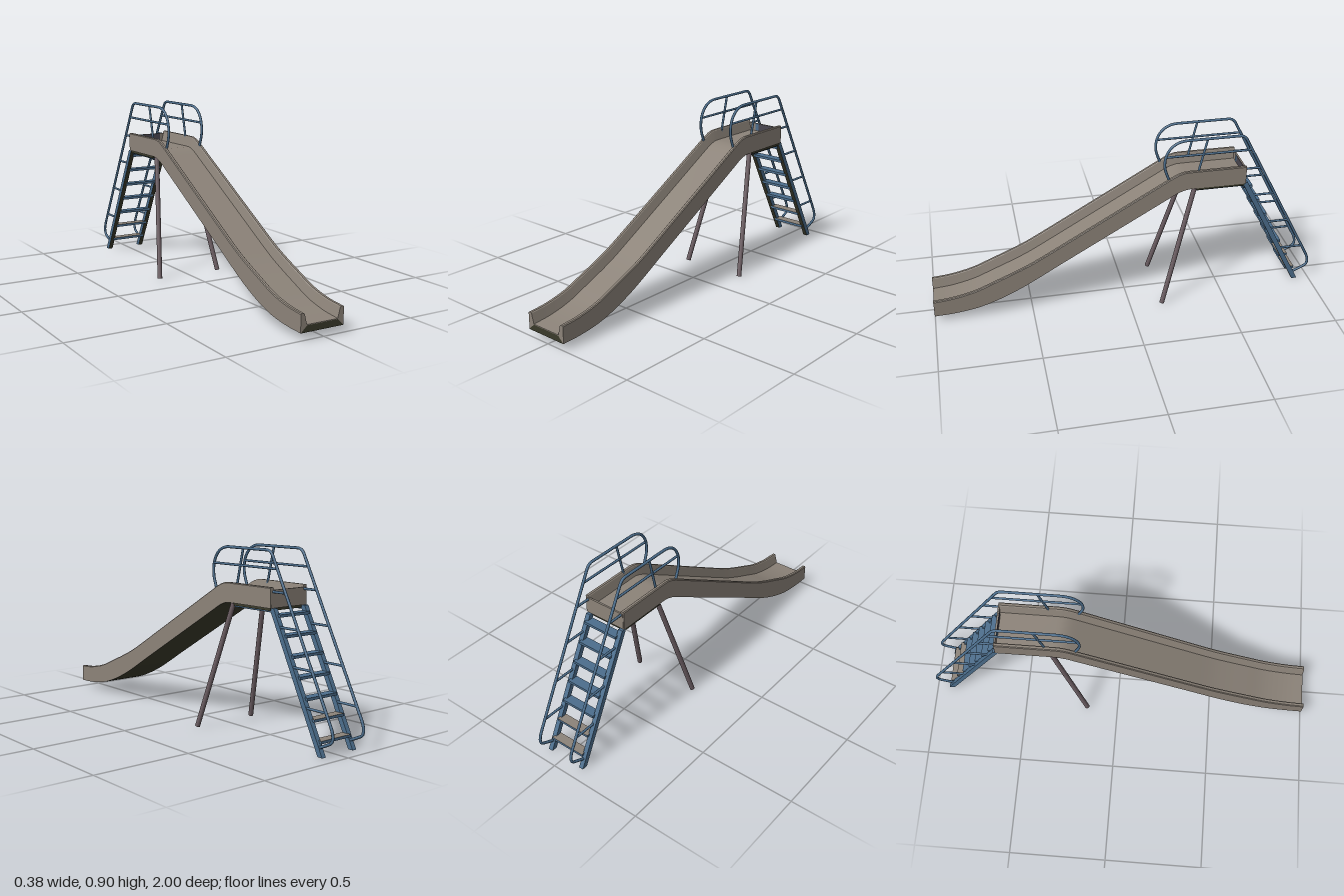
import * as THREE from 'three';
import { toCreasedNormals } from 'three/addons/utils/BufferGeometryUtils.js';

const V = (x, y, z) => new THREE.Vector3(x, y, z);

export function createModel() {
  const model = new THREE.Group();
  model.name = 'playgroundSlide';
  const paint = (name, color) => {
    const material = new THREE.MeshStandardMaterial({ color });
    material.name = name;
    return material;
  };
  const chuteMat = paint('warm grey chute', 0x8c8379);
  const darkMat = paint('dark olive underside', 0x3a3a2a);
  const blueMat = paint('blue steel', 0x4c6e8d);
  const legMat = paint('mauve grey legs', 0x6b5d62);
  const slateMat = paint('dark slate', 0x4a4750);

  const add = (name, geometry, material, parent = model) => {
    const mesh = new THREE.Mesh(geometry, material);
    mesh.name = name;
    parent.add(mesh);
    return mesh;
  };

  // Straight round bar between two points
  const bar = (name, a, b, radius, material, parent, sides = 8) => {
    const mesh = add(name, new THREE.CylinderGeometry(radius, radius, a.distanceTo(b), sides), material, parent);
    mesh.position.copy(a).add(b).multiplyScalar(0.5);
    mesh.quaternion.setFromUnitVectors(V(0, 1, 0), b.clone().sub(a).normalize());
    return mesh;
  };

  // Chute: [z, top of wall, underside], with the run-out smoothed by a spline
  const runOut = [[1, 0.12, 0.033], [0.9, 0.13, 0.038], [0.785, 0.157, 0.055], [0.68, 0.2, 0.088],
    [0.57, 0.247, 0.137], [0.49, 0.285, 0.18], [0.357, 0.36, 0.258]];
  const upper = [[-0.21, 0.688, 0.585], [-0.235, 0.702, 0.6], [-0.26, 0.714, 0.613],
    [-0.29, 0.722, 0.623], [-0.32, 0.723, 0.627], [-0.605, 0.723, 0.627]];
  const spline = new THREE.CatmullRomCurve3(runOut.map(([z, t, b]) => V(t, b, z)));
  const stations = [...spline.getPoints(24).map((p) => [p.z, p.x, p.y]), ...upper];

  // U-shaped section swept along the stations; its first edge is the underside
  const section = (top, under) => {
    const floor = top - 0.053;
    return [[-0.116, under], [0.116, under], [0.116, top - 0.004], [0.112, top], [0.1, top], [0.096, top - 0.004],
      [0.083, floor], [-0.083, floor], [-0.096, top - 0.004], [-0.1, top], [-0.112, top], [-0.116, top - 0.004]];
  };
  const n = 12;
  const positions = [];
  const underside = [];
  const shell = [];
  stations.forEach(([z, top, under], i) => {
    for (const [x, y] of section(top, under)) positions.push(x - 0.009, y, z);
    if (i === 0) return;
    for (let j = 0; j < n; j++) {
      const k = (j + 1) % n;
      const a = (i - 1) * n + j, b = (i - 1) * n + k, c = i * n + k, d = i * n + j;
      (j === 0 ? underside : shell).push(a, c, b, a, d, c);
    }
  });
  const endShape = section(0.12, 0.033).map(([x, y]) => new THREE.Vector2(x, y));
  const last = (stations.length - 1) * n;
  for (const [a, b, c] of THREE.ShapeUtils.triangulateShape(endShape, [])) {
    shell.push(a, b, c, last + a, last + c, last + b);
  }
  const chute = new THREE.BufferGeometry();
  chute.setAttribute('position', new THREE.Float32BufferAttribute(positions, 3));
  chute.setIndex([...underside, ...shell]);
  chute.addGroup(0, underside.length, 0);
  chute.addGroup(underside.length, shell.length, 1);
  add('chute', toCreasedNormals(chute, 0.5), [darkMat, chuteMat]);

  // Dark lip across the foot of the chute
  const lip = new THREE.Shape([[-0.116, 0.033], [0.116, 0.033], [0.083, 0.064], [-0.083, 0.064]]
    .map(([x, y]) => new THREE.Vector2(x - 0.009, y)));
  add('chuteLip', new THREE.ShapeGeometry(lip), darkMat).position.z = 1.001;

  // Low panel closing the back of the platform, with plates on its inner face
  add('platformBackPanel', new THREE.BoxGeometry(0.22, 0.083, 0.008), chuteMat).position.set(-0.009, 0.6695, -0.603);
  add('panelSlatePlate', new THREE.BoxGeometry(0.1, 0.038, 0.003), slateMat).position.set(0.01, 0.691, -0.598);
  add('panelBluePlate', new THREE.BoxGeometry(0.02, 0.038, 0.003), blueMat).position.set(-0.05, 0.691, -0.598);

  // Dark deck beneath the platform
  add('platformDeck', new THREE.BoxGeometry(0.222, 0.012, 0.26), darkMat).position.set(-0.009, 0.621, -0.47);

  // Ladder stringer line
  const stringerZ = (y) => -0.605 - (0.627 - y) * 0.507;
  // Box faces: +x, -x, top, bottom, front, back
  const stringerMats = [blueMat, blueMat, blueMat, darkMat, darkMat, blueMat];

  for (const side of [-1, 1]) {
    const half = new THREE.Group();
    half.name = (side > 0 ? 'left' : 'right') + 'Side';
    model.add(half);
    const x = -0.008 + side * 0.099;

    // Handrail loop running from the chute over the platform and down the ladder
    const path = new THREE.CurvePath();
    const line = (a, b) => path.add(new THREE.LineCurve3(V(x, ...a), V(x, ...b)));
    const bend = (a, c, b) => path.add(new THREE.QuadraticBezierCurve3(V(x, ...a), V(x, ...c), V(x, ...b)));
    line([0.685, -0.208], [0.72, -0.195]);
    bend([0.72, -0.195], [0.765, -0.178], [0.815, -0.192]);
    bend([0.815, -0.192], [0.89, -0.22], [0.89, -0.3]);
    line([0.89, -0.3], [0.89, -0.565]);
    bend([0.89, -0.565], [0.89, -0.588], [0.865, -0.602]);
    line([0.865, -0.602], [0.15, -0.976]);
    bend([0.15, -0.976], [0.1, -1.002], [0.075, -0.982]);
    bend([0.075, -0.982], [0.06, -0.955], [0.04, -0.907]);
    add('handrail', new THREE.TubeGeometry(path, 120, 0.007, 8, false), blueMat, half);

    bar('middleRail', V(x, 0.808, -0.19), V(x, 0.808, -0.625), 0.006, blueMat, half);
    bar('railPost', V(x, 0.89, -0.4), V(x, 0.69, -0.353), 0.006, blueMat, half);

    // Struts from ladder to handrail
    for (const [y, z0, z1] of [[0.703, -0.6, -0.68], [0.546, -0.645, -0.765], [0.375, -0.733, -0.855], [0.204, -0.82, -0.943]]) {
      bar('railStrut', V(x, y, z0), V(x, y, z1), 0.006, blueMat, half);
    }

    // Ladder stringer, cut level at the ground, dark on its lower face
    const stringer = new THREE.BoxGeometry(0.024, 0.627, 0.028);
    const p = stringer.attributes.position;
    for (let i = 0; i < p.count; i++) {
      const y = p.getY(i) + 0.3135;
      p.setXYZ(i, p.getX(i) + x - 0.004, y, p.getZ(i) + stringerZ(y));
    }
    stringer.computeVertexNormals();
    add('ladderStringer', stringer, stringerMats, half);

    // Frame rail beneath the platform edge
    bar('platformFrameRail', V(x, 0.612, -0.345), V(x, 0.612, -0.605), 0.005, blueMat, half);

    // Splayed support leg
    bar('supportLeg', V(side * 0.096, 0.625, -0.34), V(side * 0.177, 0.002, -0.166), 0.0125, legMat, half, 12);
  }

  // Ladder treads: the lowest two are bare, all are dark beneath
  for (let i = 0; i < 7; i++) {
    const y = 0.064 + i * 0.0885;
    const face = i < 2 ? chuteMat : blueMat;
    const treadMats = [blueMat, blueMat, face, darkMat, blueMat, blueMat];
    add('ladderTread', new THREE.BoxGeometry(0.19, 0.013, 0.048), treadMats).position.set(-0.01, y, stringerZ(y) - 0.004);
  }

  return model;
}
